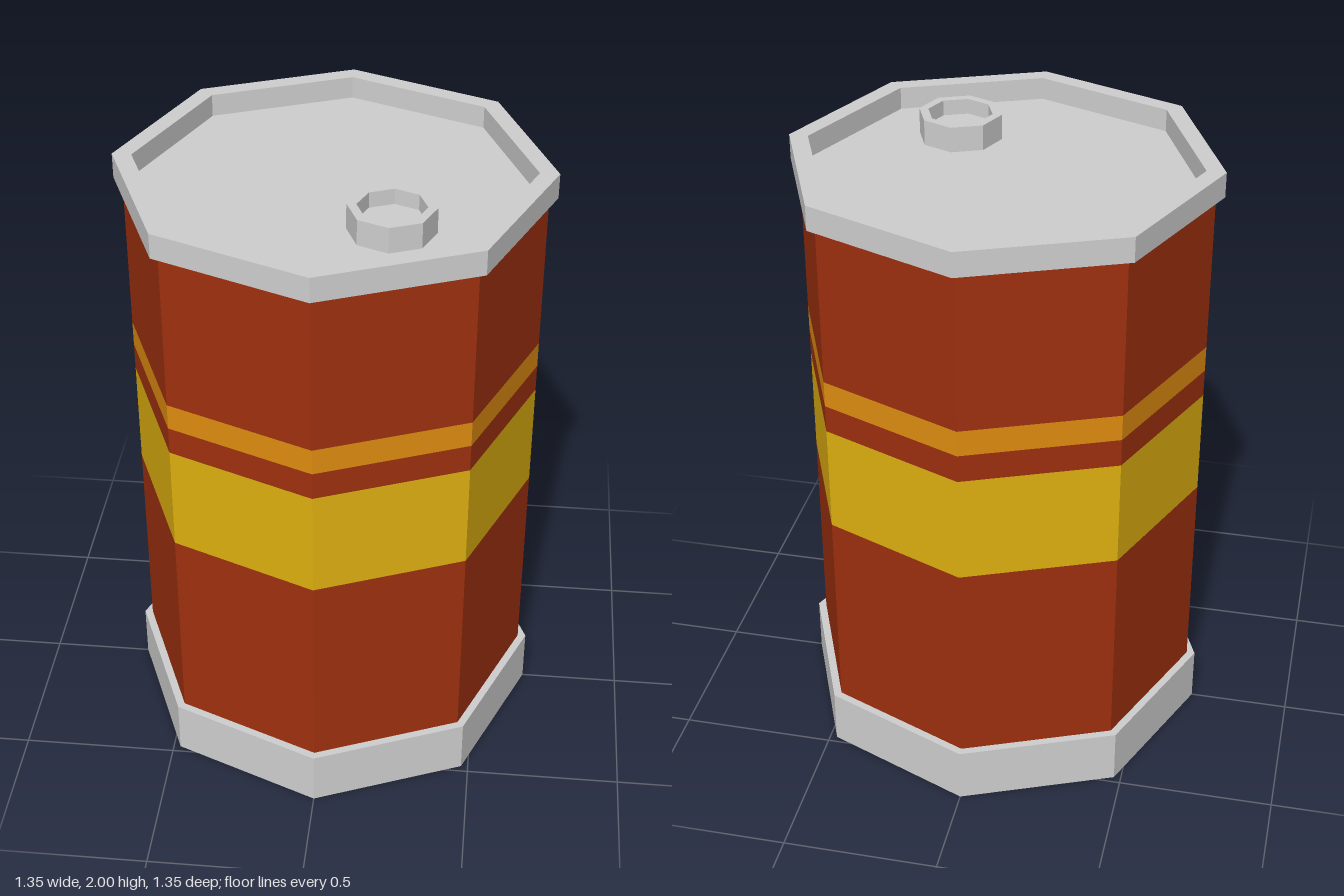
import * as THREE from 'three';

const makeMaterial = (name, color) =>
  new THREE.MeshStandardMaterial({ name, color, flatShading: true, side: THREE.DoubleSide });

export function createModel() {
  const barrel = new THREE.Group();
  barrel.name = 'barrel';

  const steel = makeMaterial('steel grey', 0xcfcfcf);
  const red = makeMaterial('rust red', 0x9f300f);
  const yellow = makeMaterial('yellow', 0xdfb010);
  const orange = makeMaterial('orange', 0xdf8c10);

  // Eight-sided turned sheet from [radius, height] pairs
  const turned = (name, material, profile) => {
    const points = profile.map(([r, y]) => new THREE.Vector2(r, y));
    const mesh = new THREE.Mesh(new THREE.LatheGeometry(points, 8), material);
    mesh.name = name;
    barrel.add(mesh);
    return mesh;
  };

  const bodyR = 0.648, rimR = 0.675;

  // Open bottom rim, stepping in to the body
  turned('bottomRim', steel, [[rimR, 0], [rimR, 0.183], [bodyR, 0.183]]);

  // Body wall, split into painted bands
  const bands = [
    ['lowerBody', red, 0.183, 0.87],
    ['wideStripe', yellow, 0.87, 1.22],
    ['middleBody', red, 1.22, 1.31],
    ['narrowStripe', orange, 1.31, 1.395],
    ['upperBody', red, 1.395, 1.91],
  ];
  for (const [name, material, y0, y1] of bands) {
    turned(name, material, [[bodyR, y0], [bodyR, y1]]);
  }

  // Top rim with recessed lid
  turned('topRim', steel, [[bodyR, 1.91], [rimR, 1.91], [rimR, 1.99], [0.615, 1.99], [0.615, 1.918]]);
  turned('lid', steel, [[0.615, 1.918], [0, 1.918]]);

  // Filler cap with a shallow hollow
  const cap = turned('fillerCap', steel, [[0.133, 1.918], [0.133, 2], [0.104, 2], [0.104, 1.95], [0, 1.95]]);
  cap.position.set(0.195, 0, 0.263);

  return barrel;
}
